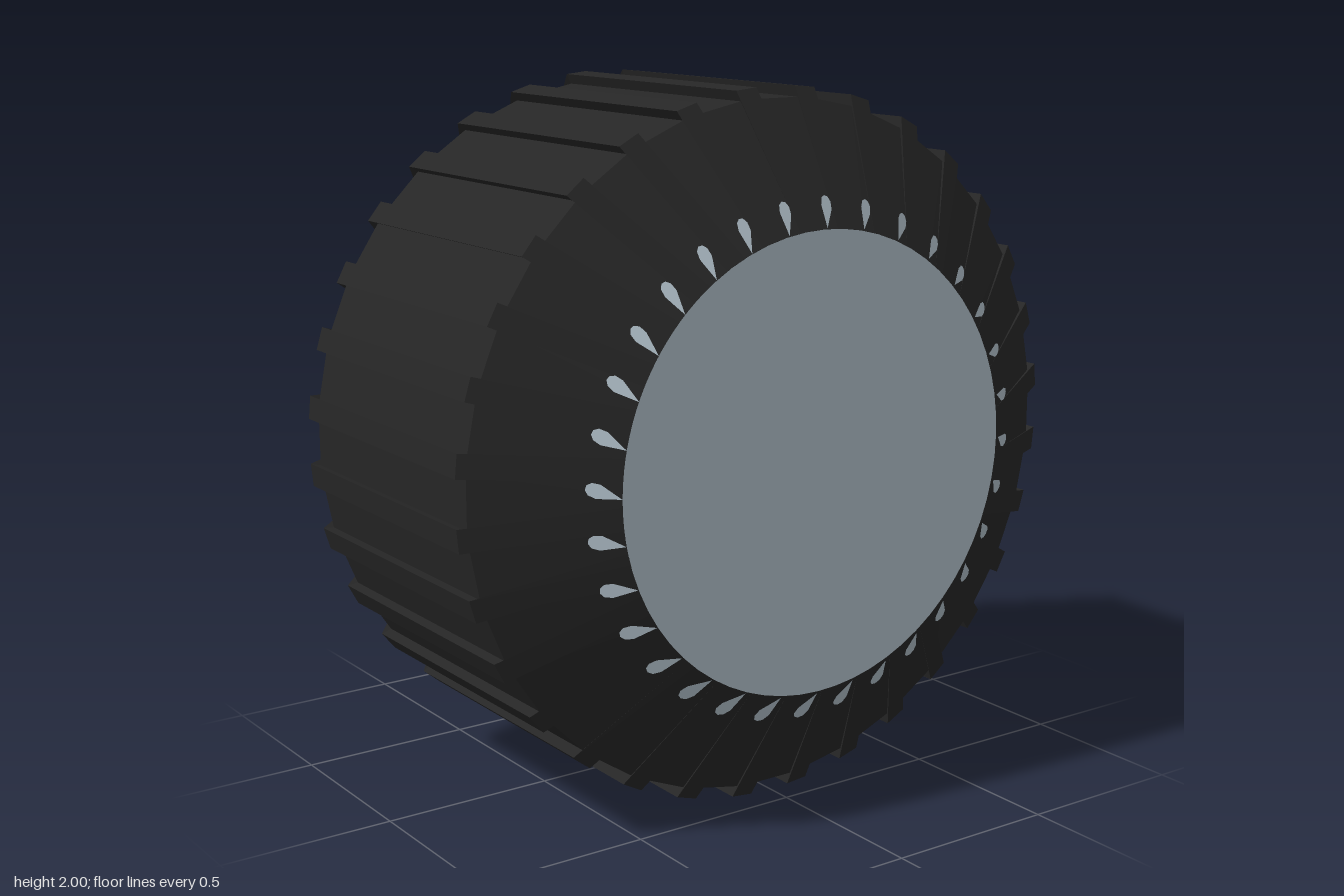
import * as THREE from 'three';
import { mergeGeometries } from 'three/addons/utils/BufferGeometryUtils.js';

const TEETH = 32, STEP = Math.PI * 2 / TEETH;
const HUB_R = 0.64, HUB_X = 0.635, TREAD_X = 0.42;
const TIP_R = 1.002, ROOT_R = 0.972;

// Ring of points round the z axis: a plain circle or the toothed tread outline
function ring(z, toothed) {
  const tooth = toothed
    ? [[-0.022, ROOT_R], [-0.033, TIP_R], [0.033, TIP_R], [0.022, ROOT_R]]
    : [-1.5, -0.5, 0.5, 1.5].map(k => [k * STEP / 4, HUB_R]);
  const points = [];
  for (let i = 0; i < TEETH; i++) {
    for (const [offset, r] of tooth) {
      const a = (i + 0.5) * STEP + offset;
      points.push([r * Math.cos(a), r * Math.sin(a), z]);
    }
  }
  return points;
}

// Flat-faced skin joining successive rings
function skin(rings) {
  const pos = [];
  for (let j = 0; j < rings.length - 1; j++) {
    const a = rings[j], b = rings[j + 1], n = a.length;
    for (let i = 0; i < n; i++) {
      const k = (i + 1) % n;
      pos.push(...a[i], ...b[i], ...b[k], ...a[i], ...b[k], ...a[k]);
    }
  }
  const g = new THREE.BufferGeometry();
  g.setAttribute('position', new THREE.Float32BufferAttribute(pos, 3));
  g.computeVertexNormals();
  return g;
}

// Ring of leaning teardrop plates on the bevel at the +z end
function teardrops() {
  const shape = new THREE.Shape();
  shape.moveTo(0, 0);
  shape.lineTo(0.019, 0.065);
  shape.bezierCurveTo(0.024, 0.112, -0.024, 0.112, -0.019, 0.065);
  shape.closePath();
  const slope = Math.atan2(HUB_X - TREAD_X, ROOT_R - HUB_R);
  const drop = new THREE.ShapeGeometry(shape, 5);
  drop.rotateY(0.2).rotateZ(-0.33).rotateX(-slope);
  drop.translate(0, HUB_R + 0.006 * Math.sin(slope), HUB_X + 0.006 * Math.cos(slope));
  const all = [];
  for (let i = 0; i < TEETH; i++) all.push(drop.clone().rotateZ(-i * STEP - 0.01));
  return mergeGeometries(all);
}

export function createModel() {
  const rubber = new THREE.MeshStandardMaterial({ color: 0x262626, flatShading: true, side: THREE.DoubleSide });
  rubber.name = 'blackRubber';
  const metal = new THREE.MeshStandardMaterial({ color: 0xb2c1cb, side: THREE.DoubleSide });
  metal.name = 'paleMetal';

  const wheel = new THREE.Group();
  wheel.name = 'wheel';

  // Toothed tyre with bevelled sidewalls
  const tyre = new THREE.Mesh(skin([
    ring(HUB_X, false), ring(TREAD_X, true), ring(-TREAD_X, true), ring(-HUB_X, false),
  ]), rubber);
  tyre.name = 'tyre';
  wheel.add(tyre);

  // The two ends are the same part turned half round
  for (const [side, turn] of [['left', 0], ['right', Math.PI]]) {
    const end = new THREE.Group();
    end.name = side + 'HubFace';
    const disc = new THREE.Mesh(new THREE.CircleGeometry(HUB_R, 64), metal);
    disc.name = side + 'HubDisc';
    disc.position.z = HUB_X;
    const drops = new THREE.Mesh(teardrops(), metal);
    drops.name = side + 'HubTeardrops';
    end.add(disc, drops);
    end.rotation.y = turn;
    wheel.add(end);
  }

  // Axle along x, resting on the ground
  wheel.rotation.y = Math.PI / 2;
  wheel.position.y = 1;
  const model = new THREE.Group();
  model.name = 'toothedWheel';
  model.add(wheel);
  return model;
}
